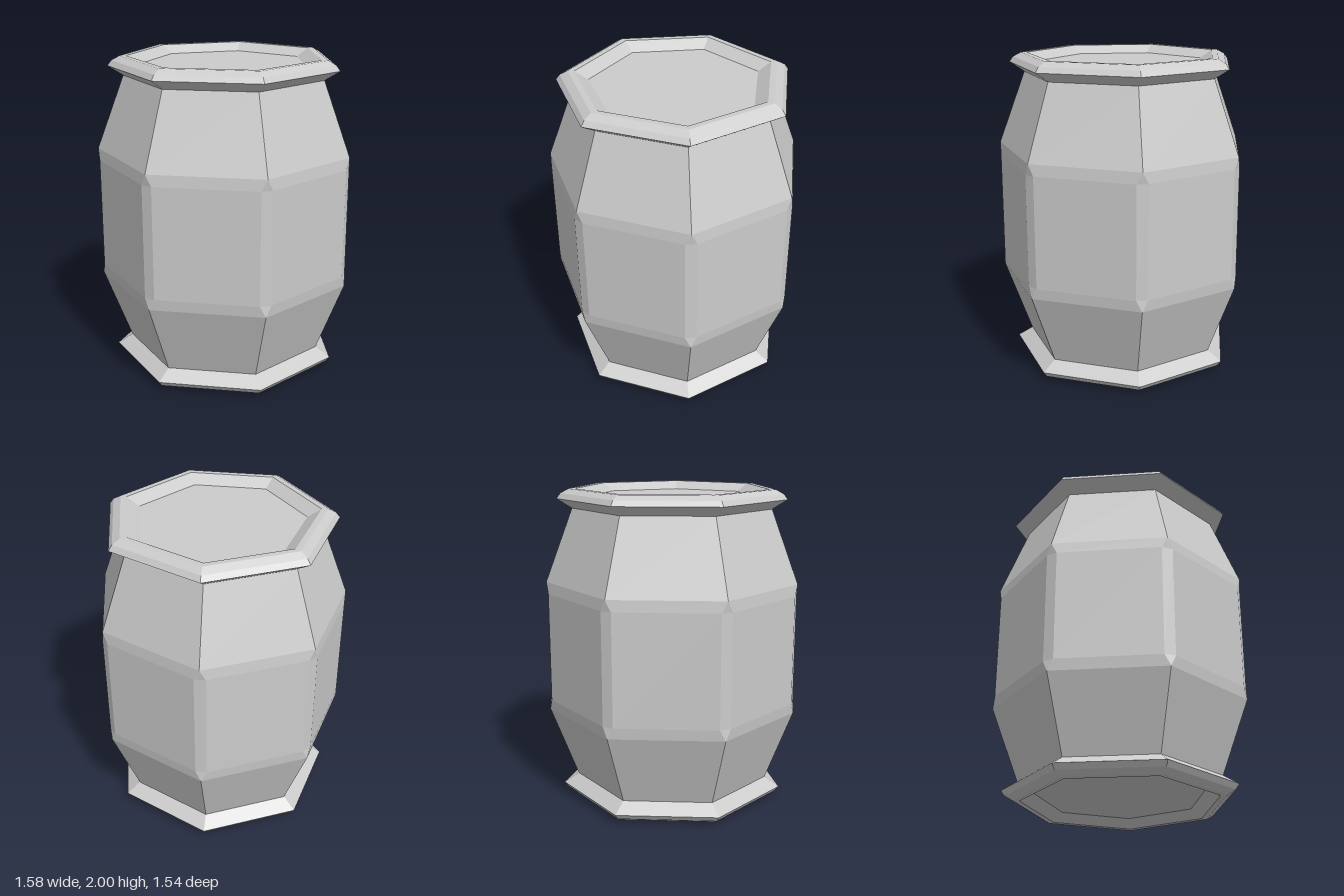
import * as THREE from 'three';

const SIDES = 7;
const Z_SHIFT = 0.038; // centres the odd-sided outline between its corner and its flat

const corner = (k, r) => {
  const t = (k / SIDES) * Math.PI * 2;
  return new THREE.Vector3(r * Math.sin(t), 0, Z_SHIFT - r * Math.cos(t));
};

// One heptagon ring; each corner is cut back by `cut` along both edges
function ring([radius, y, cut = 0]) {
  const pts = [];
  for (let k = 0; k < SIDES; k++) {
    const c = corner(k, radius);
    for (const step of [-1, 1]) {
      const dir = corner(k + step, radius).sub(c).normalize();
      const p = c.clone().addScaledVector(dir, cut);
      p.y = y;
      pts.push(p);
    }
  }
  return pts;
}

// Skins consecutive rings, listed upwards on the outside
function loft(name, profile, material) {
  const rings = profile.map(ring);
  const pos = [];
  const area = new THREE.Triangle();
  const tri = (a, b, c) => {
    if (area.set(a, b, c).getArea() > 1e-7) pos.push(...a, ...b, ...c);
  };
  for (let j = 0; j < rings.length - 1; j++) {
    const lo = rings[j], hi = rings[j + 1];
    for (let i = 0; i < lo.length; i++) {
      const n = (i + 1) % lo.length;
      tri(lo[n], lo[i], hi[i]);
      tri(lo[n], hi[i], hi[n]);
    }
  }
  const geometry = new THREE.BufferGeometry();
  geometry.setAttribute('position', new THREE.Float32BufferAttribute(pos, 3));
  geometry.computeVertexNormals();
  const mesh = new THREE.Mesh(geometry, material);
  mesh.name = name;
  return mesh;
}

// The same profile turned upside down
const flip = (profile) => profile.map(([r, y, cut]) => [r, 2 - y, cut]).reverse();

export function createModel() {
  const group = new THREE.Group();
  group.name = 'barrel';
  const material = new THREE.MeshStandardMaterial({ color: 0xcccccc, flatShading: true });

  // Staves: tapered ends, straight middle with bevelled corners
  const upperBody = [[0.816, 1.35, 0.039], [0.808, 1.42], [0.635, 1.88]];
  group.add(loft('body', [...flip(upperBody), ...upperBody], material));

  // Flared rims and shallow recessed lids, top and bottom
  const rim = [[0.635, 1.88], [0.73, 1.94], [0.705, 1.973], [0.655, 2], [0.614, 2], [0.53, 1.95]];
  const lid = [[0.53, 1.95], [0, 1.95]];
  group.add(loft('topRim', rim, material));
  group.add(loft('topLid', lid, material));
  group.add(loft('bottomRim', flip(rim), material));
  group.add(loft('bottomLid', flip(lid), material));

  return group;
}
